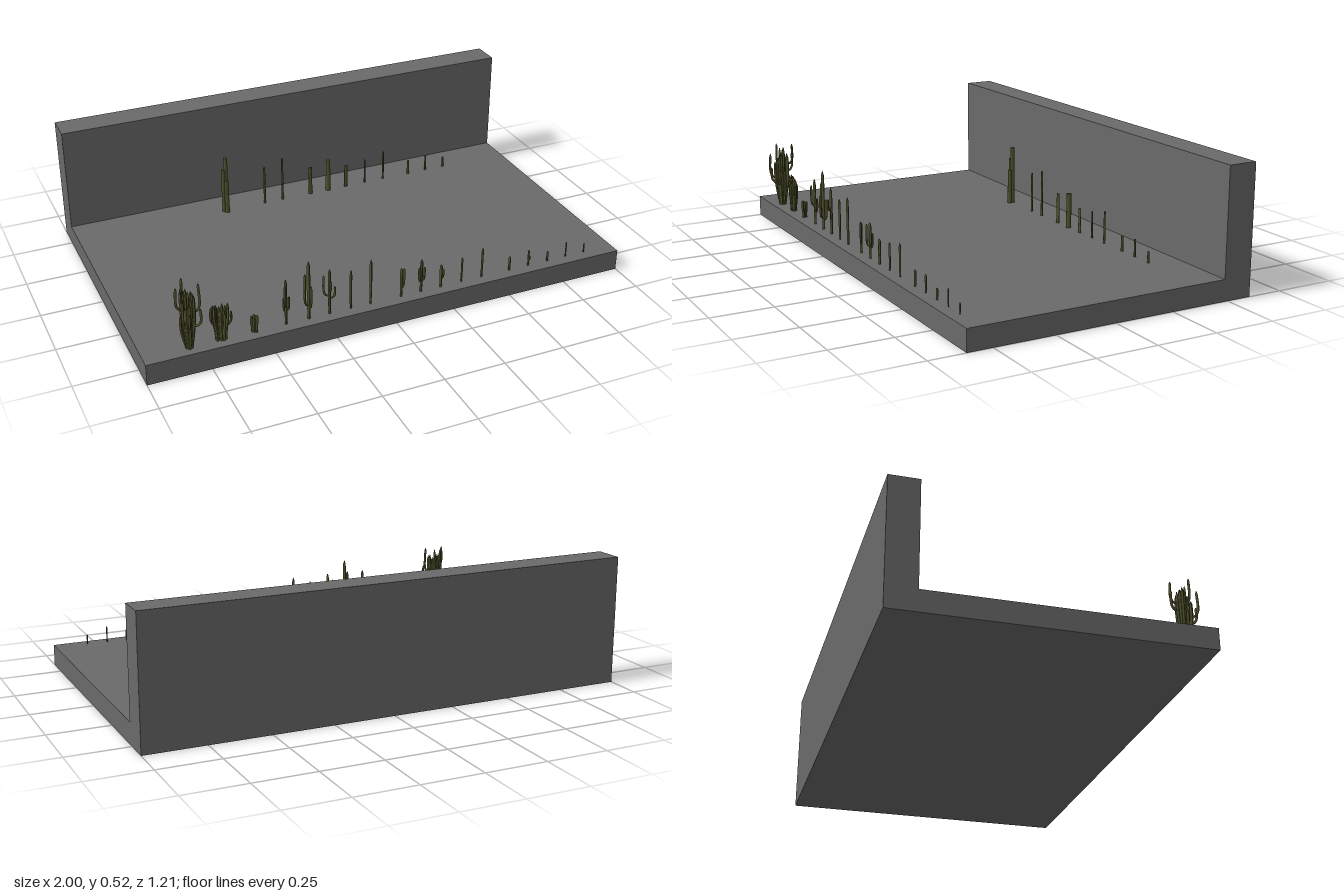
import * as THREE from 'three';
import { mergeGeometries } from 'three/addons/utils/BufferGeometryUtils.js';

const GROUND = 0.087, FRONT_Z = 0.556, BACK_Z = -0.355;

// Small seeded generator for the natural spread of the clumps
let seed = 7;
const rand = (a, b) => {
  seed = (seed * 16807) % 2147483647;
  return a + (b - a) * (seed / 2147483647);
};
const v = (x, y, z) => new THREE.Vector3(x, y, z);

// Round stem along a path, slimmer at the foot and closing to a tip
function stem(points, r) {
  const path = new THREE.CatmullRomCurve3(points), rings = 14, sides = 7;
  const geo = new THREE.TubeGeometry(path, rings, r, sides, false);
  const pos = geo.attributes.position, p = v(0, 0, 0);
  for (let i = 0; i <= rings; i++) {
    const u = i / rings, c = path.getPointAt(u);
    const k = u > 0.85 ? Math.sqrt(Math.max(0, 1 - ((u - 0.85) / 0.15) ** 2)) : 0.75 + 0.25 * Math.min(1, u * 2.5);
    for (let j = 0; j <= sides; j++) {
      const n = i * (sides + 1) + j;
      p.fromBufferAttribute(pos, n).sub(c).multiplyScalar(k).add(c);
      pos.setXYZ(n, p.x, p.y, p.z);
    }
  }
  geo.computeVertexNormals();
  return geo;
}

// Arm that leaves the trunk sideways, then turns upward
function arm(angle, reach, y0, y1, r, cx = 0, cz = 0) {
  const dx = Math.cos(angle), dz = Math.sin(angle), b = Math.min(0.02, (y1 - y0) * 0.4);
  return stem([
    v(cx, y0, cz),
    v(cx + dx * reach * 0.7, y0 + b * 0.15, cz + dz * reach * 0.7),
    v(cx + dx * reach, y0 + b, cz + dz * reach),
    v(cx + dx * reach, y1, cz + dz * reach),
  ], r);
}

// Many stems spreading from a narrow foot
function clump(count, foot, rx, rz, hMin, hMax, r) {
  const parts = [];
  for (let i = 0; i < count; i++) {
    const a = i * 2.4, d = Math.sqrt((i + 0.3) / count), h = rand(hMin, hMax);
    const x = Math.cos(a) * d, z = Math.sin(a) * d;
    parts.push(stem([
      v(x * rx * foot, 0, z * rz * foot),
      v(x * rx * 0.75, h * 0.3, z * rz * 0.75),
      v(x * rx, h * 0.6, z * rz),
      v(x * rx, h, z * rz),
    ], r));
  }
  return parts;
}

export function createModel() {
  const model = new THREE.Group();
  const stone = new THREE.MeshStandardMaterial({ color: 0x6a6a6a });
  stone.name = 'grey stone';
  const olive = new THREE.MeshStandardMaterial({ color: 0x50522c });
  olive.name = 'olive cactus';

  const add = (name, parts, x, z) => {
    const mesh = new THREE.Mesh(mergeGeometries(parts), olive);
    mesh.name = name;
    mesh.position.set(x, GROUND, z);
    model.add(mesh);
  };

  // Ground slab and back wall as one L-shaped profile
  const profile = new THREE.Shape([
    [-0.603, 0], [0.603, 0], [0.603, 0.522], [0.483, 0.522], [0.483, GROUND], [-0.603, GROUND],
  ].map(([x, y]) => new THREE.Vector2(x, y)));
  const slab = new THREE.ExtrudeGeometry(profile, { depth: 2, bevelEnabled: false });
  slab.translate(0, 0, -1).rotateY(Math.PI / 2);
  const base = new THREE.Mesh(slab, stone);
  base.name = 'groundAndWall';
  model.add(base);

  // Large clump with a few wide arms
  add('largeClump', [
    ...clump(20, 0.4, 0.03, 0.03, 0.14, 0.27, 0.0055),
    arm(1.75, 0.044, 0.1, 0.17, 0.005),
    arm(2.2, 0.05, 0.12, 0.23, 0.005),
    arm(0.7, 0.05, 0.1, 0.18, 0.005),
    arm(0.15, 0.043, 0.15, 0.27, 0.005),
    arm(-1.75, 0.036, 0.15, 0.23, 0.005, 0, -0.015),
    arm(-1.5, 0.036, 0.18, 0.27, 0.005, -0.005, -0.015),
    arm(3.0, 0.042, 0.17, 0.27, 0.005),
  ], -0.82, FRONT_Z + 0.002);
  // Medium and small clumps
  add('mediumClump', [
    ...clump(13, 0.65, 0.034, 0.016, 0.1, 0.162, 0.0055),
    arm(3.1, 0.038, 0.07, 0.15, 0.0045),
    arm(0.1, 0.038, 0.06, 0.12, 0.0045),
  ], -0.695, FRONT_Z);
  add('smallClump', clump(5, 0.8, 0.013, 0.014, 0.06, 0.098, 0.0055), -0.565, FRONT_Z);

  // Front row: x, height, radius, arms [angle, reach, start, top]
  const frontRow = [
    [-0.44, 0.197, 0.006, [[0.2, 0.012, 0.06, 0.12], [2.2, 0.014, 0.08, 0.17], [-1.9, 0.012, 0.05, 0.11]]],
    [-0.348, 0.252, 0.007, [[3.1, 0.015, 0.06, 0.2], [1.3, 0.014, 0.05, 0.15], [-1.2, 0.012, 0.04, 0.13]]],
    [-0.263, 0.198, 0.006, [[3.5, 0.022, 0.08, 0.17], [0.3, 0.02, 0.07, 0.12], [1.6, 0.013, 0.1, 0.15]]],
    [-0.175, 0.172, 0.005, []],
    [-0.092, 0.197, 0.0055, []],
    [0.038, 0.128, 0.006, [[0.5, 0.01, 0.04, 0.128]]],
    [0.124, 0.147, 0.006, [[0.2, 0.012, 0.05, 0.11], [2.1, 0.013, 0.05, 0.14], [-1.9, 0.012, 0.04, 0.1]]],
    [0.21, 0.102, 0.006, [[0.3, 0.009, 0.04, 0.08]]],
    [0.302, 0.112, 0.004, []],
    [0.392, 0.133, 0.0045, []],
    [0.518, 0.064, 0.005, []],
    [0.605, 0.072, 0.004, [[0.2, 0.005, 0.02, 0.045]]],
    [0.694, 0.046, 0.0045, []],
    [0.78, 0.07, 0.003, []],
    [0.866, 0.043, 0.003, []],
  ];
  for (const [x, h, r, arms] of frontRow) {
    const trunk = stem([v(0, 0, 0), v(0, h / 2, 0), v(0, h, 0)], r);
    add('frontCactus', [trunk, ...arms.map((a) => arm(...a, r * 0.75))], x, FRONT_Z);
  }

  // Back row: x, height, half width, half depth of simple faceted columns
  const backRow = [
    [-0.175, 0.172, 0.005, 0.005], [-0.092, 0.197, 0.005, 0.005],
    [0.04, 0.128, 0.009, 0.006], [0.124, 0.147, 0.011, 0.012], [0.21, 0.102, 0.009, 0.005],
    [0.302, 0.112, 0.004, 0.004], [0.392, 0.133, 0.0045, 0.0045], [0.518, 0.064, 0.006, 0.005],
    [0.605, 0.072, 0.005, 0.004], [0.694, 0.046, 0.005, 0.0045],
  ];
  const column = (h, w, d, x = 0, z = 0) =>
    new THREE.CylinderGeometry(0.85, 1, h, 7).toNonIndexed().scale(w, 1, d).translate(x, h / 2, z);
  for (const [x, h, w, d] of backRow) add('backCactus', [column(h, w, d)], x, BACK_Z);
  // Tall back column with a lower shoulder
  add('tallBackCactus', [
    column(0.252, 0.009, 0.012, 0.004, -0.001),
    column(0.2, 0.01, 0.01, -0.008, 0),
    column(0.15, 0.01, 0.01, 0.002, 0.011),
  ], -0.353, BACK_Z);

  return model;
}
